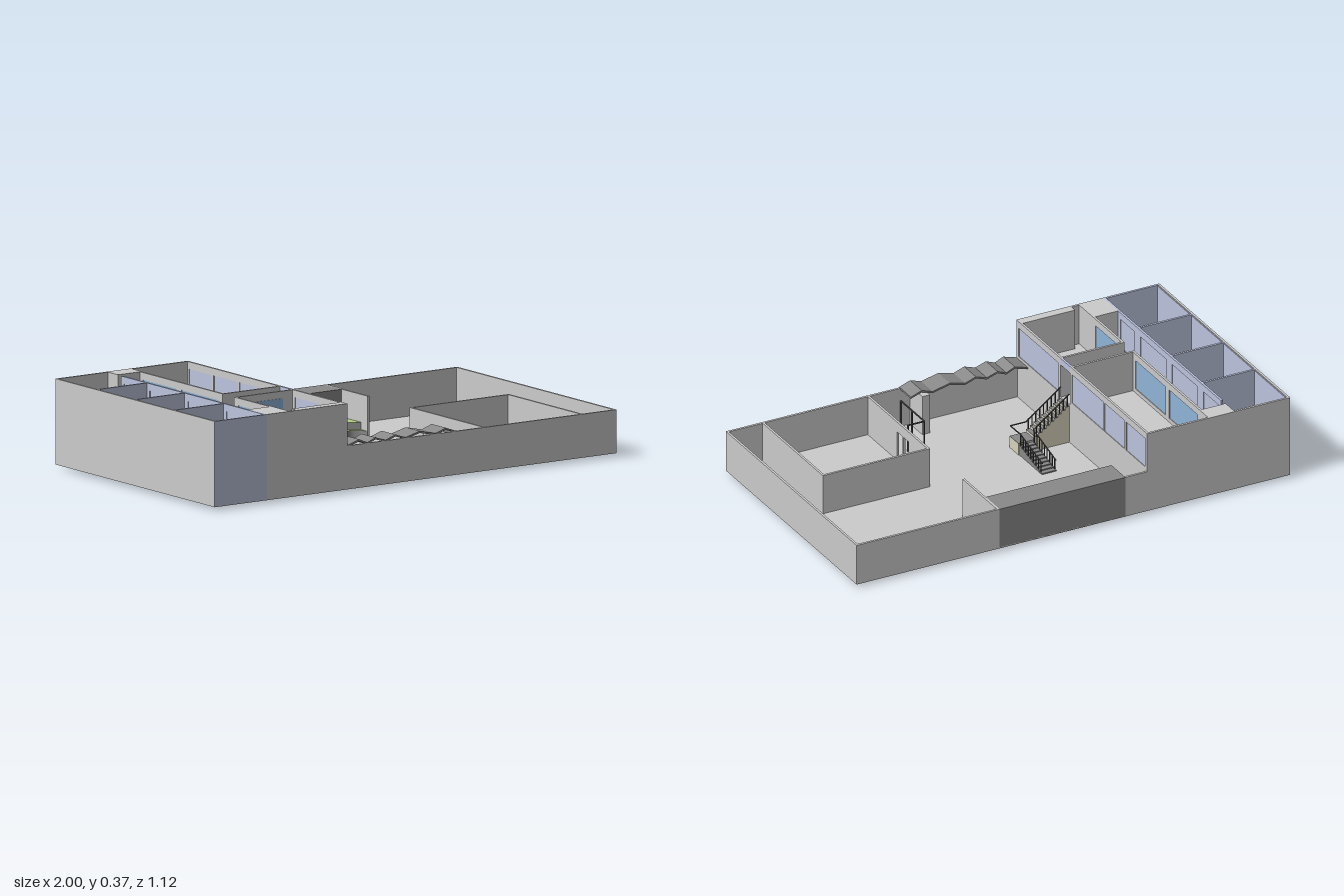
import * as THREE from 'three';

const mat = (color) => new THREE.MeshStandardMaterial({ color, flatShading: true });
const GREY = mat(0xcccccc), DARK = mat(0x8a8a8a), BLUE = mat(0xbcc3dd), GLASS = mat(0x8fb4d8);
const GREEN = mat(0xb0cf80), BEIGE = mat(0xd8d2bc), METAL = mat(0x505050);
const BASE = 0.015, FLOOR = 0.02, MID = 0.195, TOP = 0.37, T = 0.01;

export function createModel() {
  const root = new THREE.Group();
  let parent = root;
  const group = (name) => {
    parent = new THREE.Group();
    parent.name = name;
    root.add(parent);
  };
  const add = (name, geo, m) => {
    const mesh = new THREE.Mesh(geo, m);
    mesh.name = name;
    parent.add(mesh);
    return mesh;
  };
  // box given by its extents on each axis
  const box = (name, x0, x1, y0, y1, z0, z1, m = GREY) => {
    const g = new THREE.BoxGeometry(x1 - x0, y1 - y0, z1 - z0);
    g.translate((x0 + x1) / 2, (y0 + y1) / 2, (z0 + z1) / 2);
    return add(name, g, m);
  };
  // thin bar between two points
  const bar = (name, a, b, t = 0.004, m = METAL) => {
    const p = new THREE.Vector3(...a), q = new THREE.Vector3(...b);
    const mesh = add(name, new THREE.BoxGeometry(t, t, p.distanceTo(q)), m);
    mesh.position.copy(p).lerp(q, 0.5);
    mesh.lookAt(q);
  };
  const rect = (C, u0, u1, v0, v1) => {
    const s = new C();
    s.moveTo(u0, v0); s.lineTo(u1, v0); s.lineTo(u1, v1); s.lineTo(u0, v1); s.closePath();
    return s;
  };
  // wall along z at plane x, with rectangular openings [z0, z1, y0, y1], optionally glazed
  const wallZ = (name, x, z0, z1, y0, y1, openings, m = GREY, glass = null) => {
    const s = rect(THREE.Shape, z0, z1, y0, y1);
    openings.forEach((o) => s.holes.push(rect(THREE.Path, ...o)));
    const g = new THREE.ExtrudeGeometry(s, { depth: T, bevelEnabled: false });
    g.rotateY(-Math.PI / 2).translate(x + T / 2, 0, 0);
    add(name, g, m);
    if (glass) openings.forEach(([a, b, c, d]) => box(name + 'Pane', x - 0.002, x + 0.002, c, d, a, b, glass));
  };

  // ground slab and low outer walls
  group('groundFloor');
  box('floorSlab', -1, 1, BASE, FLOOR, -0.56, 0.56);
  box('rightOuterWall', 1 - T, 1, BASE, MID, -0.56, 0.56);
  box('frontOuterWall', -0.34, 1, BASE, MID, 0.56 - T, 0.56);
  box('backWallSide', 0.34, 1, BASE, MID, -0.56, -0.56 + T);
  box('backWallStub', -0.34, -0.24, BASE, MID, -0.56, -0.56 + T);
  box('returnWall', 0.34, 0.34 + T, FLOOR, MID, -0.56, -0.26);

  // walled room in the front corner
  group('cornerRoom');
  box('roomBackWall', 0.34, 0.835, FLOOR, MID, 0.035, 0.035 + T);
  box('roomEndWall', 0.825, 0.835, FLOOR, MID, 0.035, 0.55);
  wallZ('roomDoorWall', 0.345, 0.045, 0.55, FLOOR, MID, [[0.2, 0.245, FLOOR + 0.001, 0.15], [0.255, 0.3, FLOOR + 0.001, 0.15]]);

  // thick back wall with round niches
  group('nicheWall');
  const niche = rect(THREE.Shape, -0.24, 0.34, BASE, MID);
  for (const x of [-0.12, 0.04, 0.19]) {
    const hole = new THREE.Path();
    hole.absarc(x, 0.125, 0.048, 0, Math.PI * 2, true);
    niche.holes.push(hole);
  }
  const ng = new THREE.ExtrudeGeometry(niche, { depth: 0.1, bevelEnabled: false, curveSegments: 20 });
  add('nicheFront', ng.translate(0, 0, -0.54), DARK);
  box('nicheBacking', -0.24, 0.34, BASE, MID, -0.56, -0.54, DARK);

  // two wavy planted terraces
  group('terraces');
  const terrace = (name, pts, h) => {
    const s = new THREE.Shape();
    s.moveTo(0.34, 0.44);
    s.lineTo(-0.24, 0.44);
    s.lineTo(pts[0][0], -pts[0][1]);
    s.splineThru(pts.slice(1).map(([x, z]) => new THREE.Vector2(x, -z)));
    s.closePath();
    const g = new THREE.ExtrudeGeometry(s, { depth: h, bevelEnabled: false, curveSegments: 32 });
    add(name, g.rotateX(-Math.PI / 2).translate(0, FLOOR, 0), [GREEN, DARK]);
  };
  terrace('lowerTerrace', [[-0.24, -0.26], [-0.18, -0.315], [-0.1, -0.34], [-0.02, -0.315], [0.06, -0.275],
    [0.14, -0.26], [0.21, -0.28], [0.28, -0.31], [0.32, -0.295], [0.34, -0.26]], 0.03);
  terrace('upperTerrace', [[-0.24, -0.4], [-0.15, -0.378], [-0.08, -0.38], [0.02, -0.397], [0.12, -0.4],
    [0.22, -0.375], [0.29, -0.335], [0.34, -0.305]], 0.06);

  // folded canopy over the entrance
  group('entrance');
  const ridge = [[-0.34, 0.197], [-0.28, 0.215], [-0.24, 0.198], [-0.2, 0.214], [-0.15, 0.198], [-0.1, 0.215],
    [-0.05, 0.198], [0.02, 0.216], [0.1, 0.198], [0.15, 0.215], [0.2, 0.197]];
  const fold = new THREE.Shape();
  ridge.forEach(([x, y], i) => (i ? fold.lineTo(x, y) : fold.moveTo(x, y)));
  [...ridge].reverse().forEach(([x, y]) => fold.lineTo(x, y - 0.008));
  fold.closePath();
  add('foldedCanopy', new THREE.ExtrudeGeometry(fold, { depth: 0.1, bevelEnabled: false }).translate(0, 0, 0.46), DARK);
  box('canopyPillar', 0.12, 0.155, FLOOR, MID, 0.445, 0.55);
  // slim glazing frame beside the entrance
  const h = 0.14;
  for (const [x, z] of [[0.2, 0.345], [0.2, 0.45], [0.2, 0.545], [0.275, 0.345]]) {
    bar('framePost', [x, FLOOR, z], [x, h, z], 0.005);
  }
  bar('frameHead', [0.2, h, 0.345], [0.2, h, 0.545], 0.005);
  bar('frameHead', [0.2, h, 0.345], [0.275, h, 0.345], 0.005);

  // L-shaped stair: upper flight, landing, lower flight
  group('stairs');
  const N = 9, LAND = 0.07;
  for (let i = 0; i < N; i++) {
    const x = -0.34 + (i * 0.16) / N, y = MID - ((i + 1) * (MID - LAND)) / (N + 1);
    box('upperStep', x, x + 0.16 / N, FLOOR, y, 0.105, 0.18, BEIGE);
    box('upperTread', x, x + 0.16 / N, y, y + 0.003, 0.105, 0.18, DARK);
    bar('baluster', [x + 0.009, y, 0.178], [x + 0.009, y + 0.05, 0.178]);
    bar('baluster', [x + 0.009, y, 0.107], [x + 0.009, y + 0.05, 0.107]);
  }
  box('landing', -0.18, -0.105, FLOOR, LAND, 0.105, 0.18, BEIGE);
  box('landingTop', -0.18, -0.105, LAND, LAND + 0.003, 0.105, 0.18, DARK);
  for (let i = 0; i < N; i++) {
    const z = 0.105 - (i * 0.195) / N, y = LAND - ((i + 1) * (LAND - FLOOR)) / (N + 1);
    box('lowerStep', -0.175, -0.108, FLOOR, y, z - 0.195 / N, z, DARK);
    for (const x of [-0.173, -0.11]) bar('baluster', [x, y, z - 0.01], [x, y + 0.05, z - 0.01]);
    if (i < 7) box('stairSlat', -0.175, -0.108, 0.01, BASE, z - 0.012, z, BEIGE);
  }
  for (const z of [0.107, 0.178]) bar('upperHandrail', [-0.34, MID + 0.045, z], [-0.18, LAND + 0.05, z]);
  bar('landingRail', [-0.18, LAND + 0.05, 0.178], [-0.107, LAND + 0.05, 0.178]);
  bar('landingRail', [-0.107, LAND + 0.05, 0.178], [-0.107, LAND + 0.05, 0.105]);
  for (const x of [-0.173, -0.11]) bar('lowerHandrail', [x, LAND + 0.05, 0.105], [x, FLOOR + 0.05, -0.09]);
  box('stairFooting', -0.33, -0.2, 0, BASE, 0.112, 0.18, DARK);

  // two-storey wing: solid lower storey and outer walls above
  group('tallWing');
  box('lowerStorey', -1, -0.34, BASE, MID - 0.003, -0.56, 0.55);
  box('leftOuterWall', -1, -1 + T, MID - 0.003, TOP, -0.56, 0.55);
  box('backOuterWall', -1 + T, -0.34, MID - 0.003, TOP, -0.56, -0.55);
  box('frontGreyWall', -0.74, -0.34, BASE, TOP, 0.55, 0.56);
  box('frontBlueWall', -1, -0.74, BASE, TOP, 0.55, 0.56, BLUE);
  const y0 = MID - 0.003, w0 = 0.21, w1 = 0.34;
  wallZ('hallWindowWallFront', -0.345, 0.18, 0.55, y0, TOP, [[0.205, 0.54, w0, w1]], GREY, BLUE);
  wallZ('hallWindowWallBack', -0.345, -0.55, 0.1, y0, TOP,
    [[-0.185, 0.085, w0, w1], [-0.365, -0.195, w0, w1], [-0.54, -0.38, w0, w1]], GREY, BLUE);

  // small rooms along the outer side
  group('sideRooms');
  box('roomLining', -0.99, -0.987, y0, TOP - 0.005, -0.55, 0.55, BLUE);
  for (const z of [-0.275, -0.01, 0.265]) box('roomPartition', -0.99, -0.74, y0, TOP, z - T / 2, z + T / 2, BLUE);
  for (const [a, b] of [[-0.005, 0.26], [0.27, 0.55]]) box('blueFloor', -0.987, -0.745, y0, y0 + 0.004, a, b, BLUE);
  wallZ('corridorOuterWall', -0.745, -0.45, 0.55, y0, TOP,
    [[-0.43, -0.3, w0, w1], [-0.25, -0.03, w0, w1], [0.02, 0.24, w0, w1], [0.29, 0.41, w0, w1]], BLUE, BLUE);

  // inner rooms and the corridor between them
  group('innerRooms');
  box('corridorEndBack', -0.745, -0.63, y0, TOP, -0.55, -0.48);
  box('corridorEndFront', -0.74, -0.63, y0, TOP, 0.43, 0.55);
  wallZ('innerWallBack', -0.63, -0.55, 0.1, y0, TOP, [[-0.46, -0.22, w0, w1], [-0.19, 0.07, w0, w1]], GREY, GLASS);
  wallZ('innerWallFront', -0.63, 0.18, 0.55, y0, TOP, [[0.21, 0.41, w0, w1]], GREY, GLASS);
  box('passageWallBack', -0.625, -0.35, y0, TOP, 0.09, 0.1);
  box('passageWallFront', -0.625, -0.35, y0, TOP, 0.18, 0.19);
  box('passageWindow', -0.6, -0.4, w0, w1, 0.19, 0.192, GLASS);
  box('frontThickening', -0.59, -0.35, y0, TOP, 0.52, 0.55);
  box('passageLintel', -0.35, -0.34, w1, TOP, 0.1, 0.18, BLUE);
  return root;
}
